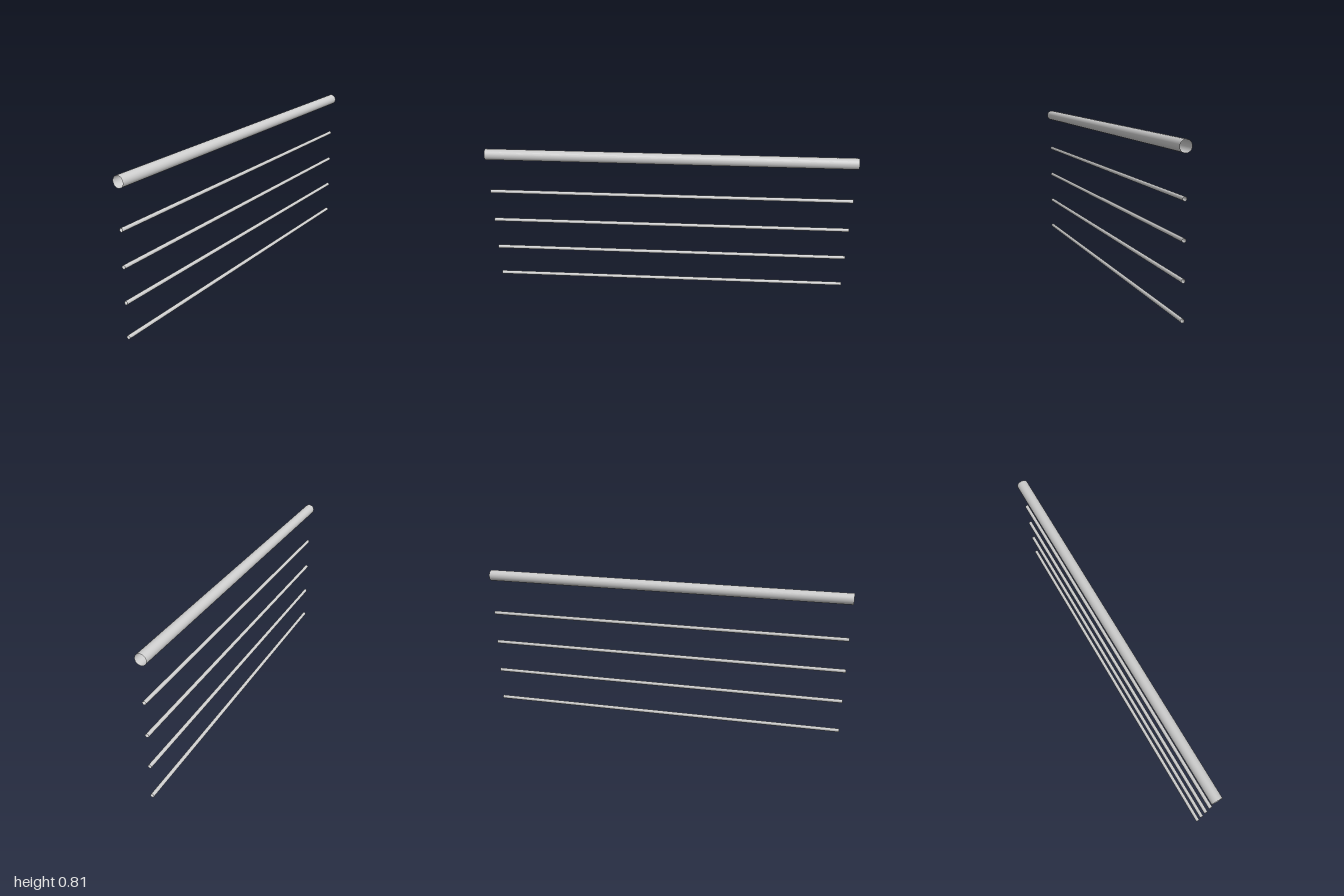
import * as THREE from 'three';

const material = new THREE.MeshStandardMaterial({ color: 0xcccccc, side: THREE.DoubleSide });

// Open-ended tube running along z
function tube(name, radius, y, sides) {
  const geometry = new THREE.CylinderGeometry(radius, radius, 2, sides, 1, true);
  geometry.rotateX(Math.PI / 2);
  const mesh = new THREE.Mesh(geometry, material);
  mesh.name = name;
  mesh.position.y = y;
  return mesh;
}

export function createModel() {
  const group = new THREE.Group();
  group.name = 'railing';

  // Thick handrail on top
  group.add(tube('handrail', 0.03, 0.782, 24));

  // Four evenly spaced thin bars below
  for (let i = 0; i < 4; i++) {
    group.add(tube('bar' + (i + 1), 0.01, 0.01 + i * 0.182, 16));
  }
  return group;
}
